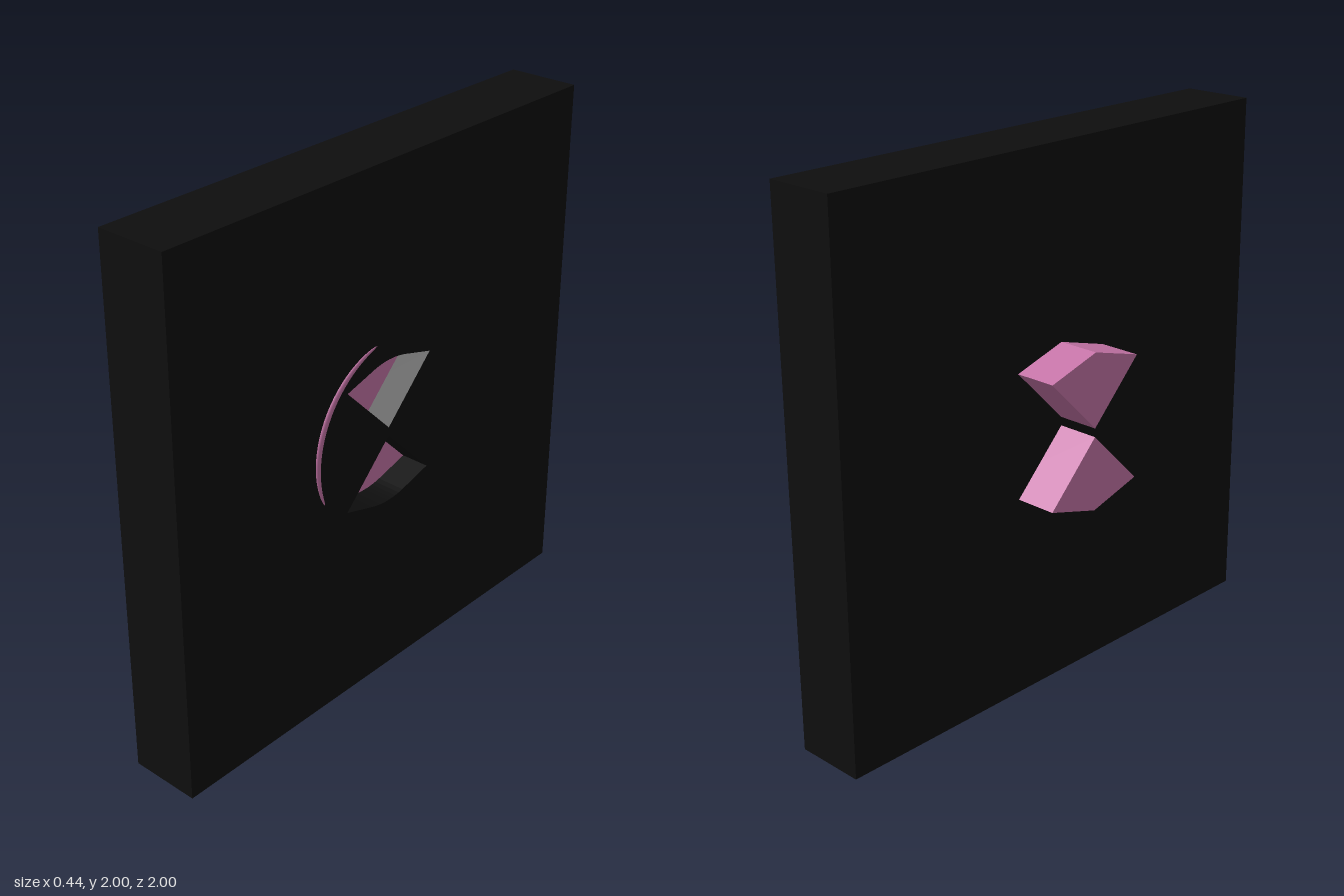
import * as THREE from 'three';

const FRONT = 0.21, BACK = -0.06, MID = 1;

// Extrudes a (z, y) outline from x = from down to x = to
function extrudeAlongX(shape, from, to) {
  const geo = new THREE.ExtrudeGeometry(shape, { depth: from - to, bevelEnabled: false, curveSegments: 8 });
  return geo.rotateY(-Math.PI / 2).translate(from, 0, 0);
}

// Kite outline pointing at the centre; s = 1 for the upper one, -1 for the lower
function kite(s, rounded, Type) {
  const p = new Type();
  p.moveTo(0, MID + s * 0.016);
  p.lineTo(0.215, MID + s * 0.233);
  if (rounded) {
    p.lineTo(0.08, MID + s * 0.271);
    p.quadraticCurveTo(0, MID + s * 0.292, -0.08, MID + s * 0.271);
  } else {
    p.lineTo(0, MID + s * 0.295);
  }
  p.lineTo(-0.215, MID + s * 0.233);
  p.closePath();
  return p;
}

export function createModel() {
  const black = new THREE.MeshStandardMaterial({ color: 0x0e0e0e });
  black.name = 'black';
  const pink = new THREE.MeshStandardMaterial({ color: 0xc675a8 });
  pink.name = 'pink';

  const model = new THREE.Group();
  const add = (name, geo, mat) => {
    const mesh = new THREE.Mesh(geo, mat);
    mesh.name = name;
    model.add(mesh);
  };

  // Square slab with two kite-shaped openings
  const outline = new THREE.Shape();
  outline.moveTo(-1, 0);
  outline.lineTo(1, 0);
  outline.lineTo(1, 2);
  outline.lineTo(-1, 2);
  outline.closePath();
  for (const s of [1, -1]) outline.holes.push(kite(s, true, THREE.Path));
  add('slab', extrudeAlongX(outline, FRONT, BACK), black);

  // Kite prisms, recessed on one side and standing proud on the other
  for (const s of [1, -1]) {
    add(s > 0 ? 'upperWedge' : 'lowerWedge', extrudeAlongX(kite(s, false, THREE.Shape), 0.1, -0.22), pink);
  }

  // Curved raised line, tapering into the slab at both ends
  const start = -0.43, arc = 1.82, radius = 0.362;
  const line = new THREE.TorusGeometry(radius, 0.014, 12, 48, arc);
  const pos = line.attributes.position;
  for (let i = 0; i < pos.count; i++) {
    const x = pos.getX(i), y = pos.getY(i);
    const a = Math.atan2(y, x);
    const taper = Math.sqrt(Math.max(0, Math.sin(Math.PI * a / arc)));
    const r = radius + (Math.hypot(x, y) - radius) * taper;
    pos.setXYZ(i, r * Math.cos(a), r * Math.sin(a), pos.getZ(i) * 0.5 * taper);
  }
  line.rotateZ(start).rotateY(-Math.PI / 2).translate(FRONT, MID, 0);
  line.computeVertexNormals();
  add('raisedArc', line, pink);

  return model;
}
